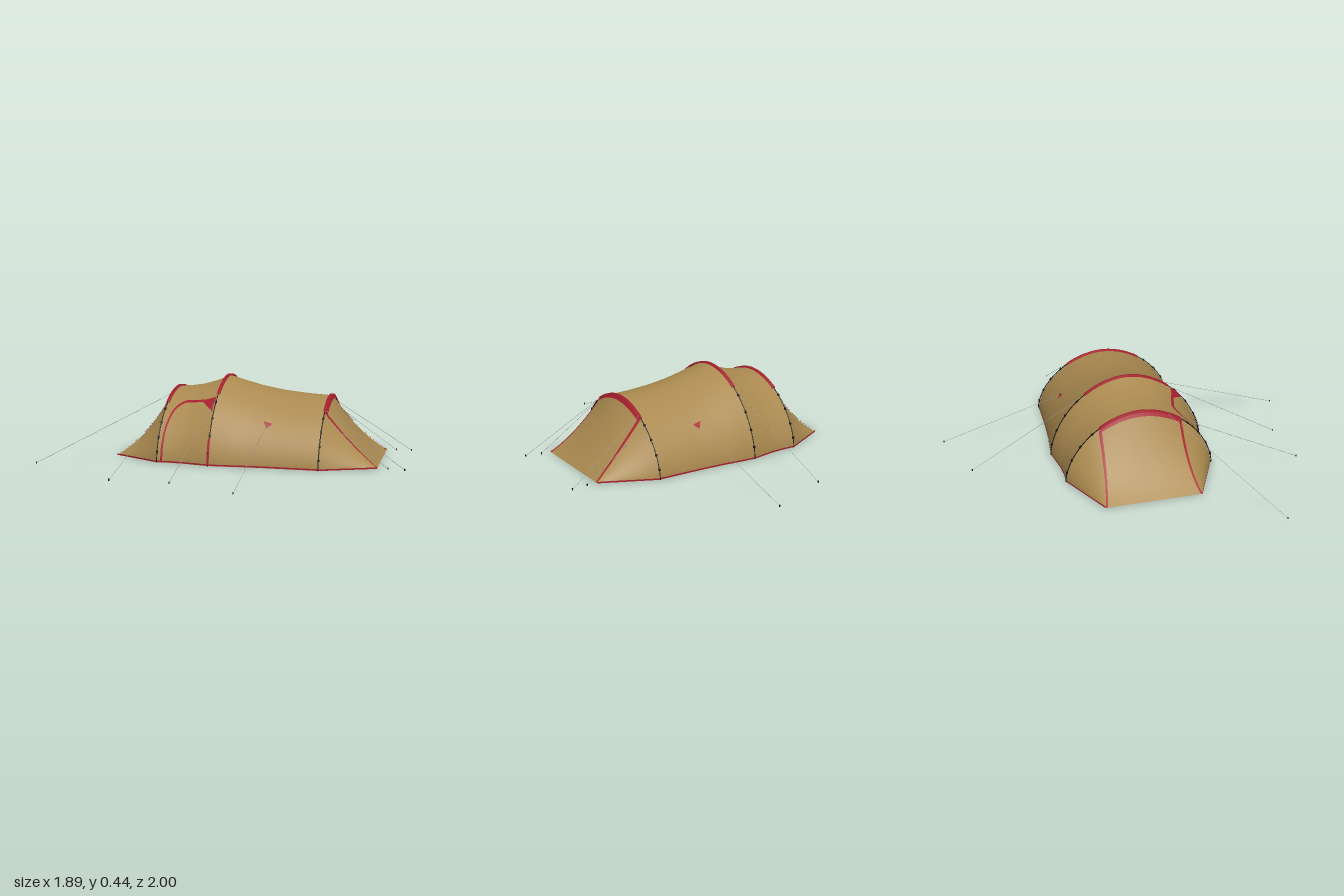
import * as THREE from 'three';

const mat = (name, color, extra = {}) => {
  const m = new THREE.MeshStandardMaterial({ color, ...extra });
  m.name = name;
  return m;
};

// Ridge height and half width of the tunnel at stations along x
const STATIONS = [
  [-0.34, 0.365, 0.4], [-0.27, 0.37, 0.398], [-0.2, 0.38, 0.402], [-0.12, 0.403, 0.416], [-0.05, 0.432, 0.428],
  [0.04, 0.405, 0.422], [0.14, 0.379, 0.412], [0.26, 0.357, 0.406], [0.39, 0.343, 0.404], [0.52, 0.335, 0.403],
];
const POLES = [-0.34, -0.05, 0.52];
const SEAM = 0.98; // arch angle where the end panels meet their side wings
const lerp = THREE.MathUtils.lerp;

function size(x) {
  let i = 0;
  while (i < STATIONS.length - 2 && x > STATIONS[i + 1][0]) i++;
  const [x0, h0, w0] = STATIONS[i], [x1, h1, w1] = STATIONS[i + 1];
  const t = THREE.MathUtils.clamp((x - x0) / (x1 - x0), 0, 1);
  return [lerp(h0, h1, t), lerp(w0, w1, t)];
}

// Point on the arch at x; angle 0 is the front ground edge, PI the back one
function arch(x, a, off = 0) {
  const [h, w] = size(x), c = Math.cos(a), s = Math.max(0, Math.sin(a));
  return new THREE.Vector3(x, (h + off) * s ** (2 / 1.7), (w + off) * Math.sign(c) * Math.abs(c) ** (2 / 1.9));
}

// Point on the side wall at a given x and height
function wall(x, y, side = 1, off = 0) {
  const [h, w] = size(x);
  const z = w * Math.max(0, 1 - Math.min(1, y / h) ** 1.7) ** (1 / 1.9);
  return new THREE.Vector3(x, y + off * 0.7, side * (z + off));
}

// Point on a sloping end: wings converge on a ground corner, the middle fans to the ground edge
function endPoint(e, a, t, off = 0) {
  const p = arch(e.x, a), k = THREE.MathUtils.clamp((a - SEAM) / (Math.PI - 2 * SEAM), 0, 1);
  const q = new THREE.Vector3(e.tip, 0, e.half * (1 - 2 * k));
  const bow = 4 * t * (1 - t) * (p.y / size(e.x)[0]);
  p.lerp(q, t);
  p.y += off - e.sag * bow;
  p.x += Math.sign(e.tip) * off;
  p.z = p.z * (1 - 0.06 * bow) + Math.sign(p.z) * off * 0.5;
  return p;
}

// Smooth grid surface from a rule fn(u, v)
function surface(nu, nv, fn) {
  const pos = [], idx = [];
  for (let i = 0; i <= nu; i++) for (let j = 0; j <= nv; j++) pos.push(...fn(i / nu, j / nv).toArray());
  for (let i = 0; i < nu; i++) for (let j = 0; j < nv; j++) {
    const a = i * (nv + 1) + j, b = a + nv + 1;
    idx.push(a, b, a + 1, b, b + 1, a + 1);
  }
  const g = new THREE.BufferGeometry();
  g.setAttribute('position', new THREE.Float32BufferAttribute(pos, 3));
  g.setIndex(idx);
  g.computeVertexNormals();
  return g;
}

// Flat tape laid on the front wall along a path of [x, y] points
function wallTape(path, width, off) {
  const curve = new THREE.CatmullRomCurve3(path.map(([x, y]) => new THREE.Vector3(x, y, 0)));
  return surface(40, 2, (u, v) => {
    const p = curve.getPoint(u), d = curve.getTangent(u), s = (v - 0.5) * width;
    return wall(p.x - d.y * s, Math.max(0, p.y + d.x * s), 1, off);
  });
}

export function createModel() {
  const group = new THREE.Group();
  const fabric = mat('tan fabric', 0xab8a50, { side: THREE.DoubleSide });
  const red = mat('red trim', 0xa8202f, { side: THREE.DoubleSide });
  const black = mat('black poles', 0x1a1818);
  const floorMat = mat('dark floor', 0x181313, { side: THREE.DoubleSide });
  const grey = mat('grey cord', 0xa8a8aa);
  const add = (name, geo, m) => {
    const mesh = new THREE.Mesh(geo, m);
    mesh.name = name;
    group.add(mesh);
    return mesh;
  };

  // Tunnel sections between the poles
  for (let i = 0; i < 2; i++)
    add('tunnelSection', surface(i ? 20 : 16, 48, (u, v) =>
      arch(lerp(POLES[i], POLES[i + 1], u), v * Math.PI)), fabric);

  // Sloping ends: two wings and a middle panel each, with red seam tapes and a red top edge
  const ends = [
    { x: -0.34, tip: -0.625, half: 0.255, sag: 0.04 },
    { x: 0.52, tip: 0.8, half: 0.272, sag: 0.022 },
  ];
  const cuts = [0, SEAM, Math.PI - SEAM, Math.PI];
  for (const e of ends) {
    for (let k = 0; k < 3; k++)
      add(k === 1 ? 'endPanel' : 'endWing', surface(16, 12, (u, v) =>
        endPoint(e, lerp(cuts[k], cuts[k + 1], u), v)), fabric);
    for (const a of [SEAM, Math.PI - SEAM])
      add('endSeam', surface(2, 20, (u, v) => endPoint(e, a + (u - 0.5) * 0.046, v, 0.003)), red);
    add('endTopEdge', surface(28, 2, (u, v) =>
      endPoint(e, lerp(SEAM, Math.PI - SEAM, u), v * 0.045, 0.004)), red);
    for (const s of [1, -1])
      add('wingHem', surface(8, 1, (u, v) => new THREE.Vector3(
        lerp(e.x, e.tip, u), v * 0.008, s * (lerp(size(e.x)[1], e.half, u) + 0.002))), red);
  }

  // Ground hem along both long sides
  for (const s of [1, -1])
    add('sideHem', surface(36, 1, (u, v) => wall(lerp(-0.34, 0.52, u), v * 0.008, s, 0.002)), red);

  // Groundsheet
  const floor = add('groundsheet', new THREE.PlaneGeometry(0.86, 0.8).rotateX(-Math.PI / 2), floorMat);
  floor.position.set(0.09, 0.002, 0);

  // Pole arches, covered on top by red sleeves and clipped to the fabric down the sides
  const sleeve = [[-0.009, 0], [-0.007, 0.009], [0.007, 0.009], [0.009, 0]];
  for (const x of POLES) {
    const pts = Array.from({ length: 49 }, (_, i) => arch(x, i / 48 * Math.PI, 0.004));
    add('pole', new THREE.TubeGeometry(new THREE.CatmullRomCurve3(pts), 80, 0.0025, 6), black);
    add('poleSleeve', surface(28, 3, (u, v) => {
      const [dx, off] = sleeve[Math.round(v * 3)];
      const p = arch(x, lerp(SEAM, Math.PI - SEAM, u), off);
      p.x += dx;
      return p;
    }), red);
    for (const a of [0.2, 0.42, 0.64, 0.86]) for (const b of [a, Math.PI - a]) {
      const clip = add('poleClip', new THREE.BoxGeometry(0.009, 0.012, 0.008), black);
      clip.position.copy(arch(x, b, 0.005));
      clip.rotation.x = b === a ? -a : a;
    }
  }

  // Front door: zip line, rolled corner flap and lower edge at the middle pole
  const zip = [[-0.315, 0.005], [-0.315, 0.1], [-0.308, 0.19], [-0.285, 0.265], [-0.24, 0.3], [-0.18, 0.307], [-0.11, 0.314]];
  add('doorZip', wallTape(zip, 0.011, 0.003), red);
  add('doorEdge', wallTape([[-0.05, 0.003], [-0.05, 0.07], [-0.05, 0.135]], 0.013, 0.008), red);
  const patch = (name, [a, b, c], side, off) => add(name, surface(8, 8, (u, v) =>
    wall(lerp(a[0], lerp(b[0], c[0], v), u), lerp(a[1], lerp(b[1], c[1], v), u), side, off)), red);
  patch('doorFlap', [[-0.138, 0.312], [-0.054, 0.335], [-0.06, 0.266]], 1, 0.006);

  // Small vent tabs on both sides
  for (const s of [1, -1]) patch('ventTab', [[0.264, 0.212], [0.216, 0.223], [0.238, 0.19]], s, 0.006);

  // Guy lines with pegs
  const guy = (from, x, z) => {
    const to = new THREE.Vector3(x, 0.004, z);
    add('guyLine', new THREE.TubeGeometry(new THREE.LineCurve3(from, to), 1, 0.0012, 4), grey);
    const peg = add('peg', new THREE.CylinderGeometry(0.003, 0.003, 0.01, 6), black);
    peg.position.set(x, 0.005, z);
  };
  for (const s of [1, -1]) {
    guy(wall(0.24, 0.21, s, 0.008), 0.24, s * 0.997);
    guy(wall(-0.05, 0.33, s, 0.005), -0.105, s * 0.87);
    guy(wall(0.52, 0.28, s, 0.005), 0.94, s * 0.285);
    guy(wall(0.52, 0.24, s, 0.005), 0.855, s * 0.272);
  }
  guy(wall(-0.34, 0.28, 1, 0.005), -0.405, 0.88);
  guy(wall(-0.34, 0.335, 1, 0.005), -0.94, 0.59);

  return group;
}
